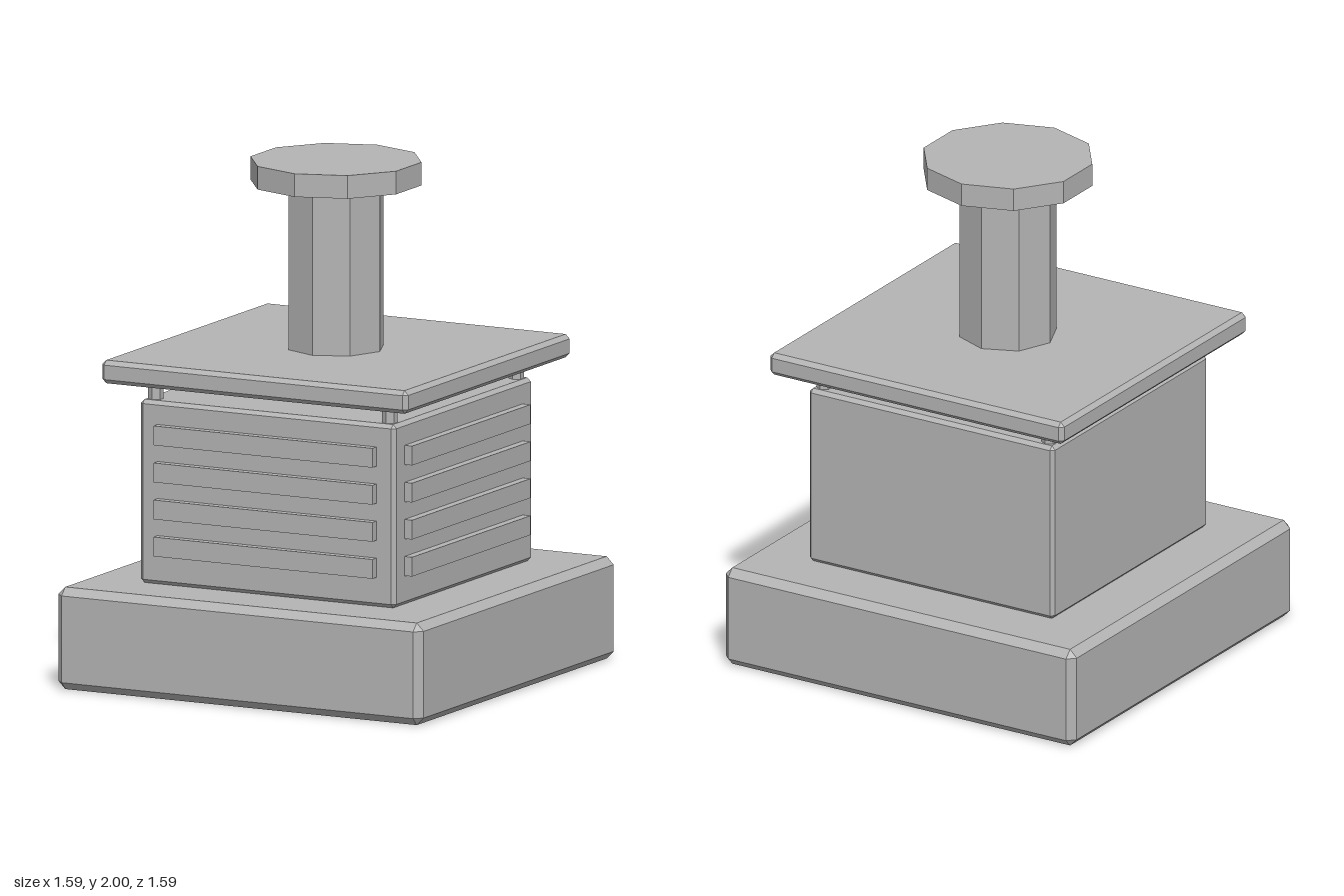
import * as THREE from 'three';
import { ConvexGeometry } from 'three/addons/geometries/ConvexGeometry.js';

// Box standing on y = 0 with every edge chamfered by c
function chamferedBox(w, h, d, c) {
  const points = [];
  for (const sx of [-1, 1]) for (const sy of [-1, 1]) for (const sz of [-1, 1]) {
    for (let axis = 0; axis < 3; axis++) {
      const inset = [c, c, c];
      inset[axis] = 0;
      points.push(new THREE.Vector3(
        sx * (w / 2 - inset[0]),
        h / 2 + sy * (h / 2 - inset[1]),
        sz * (d / 2 - inset[2])
      ));
    }
  }
  return new ConvexGeometry(points);
}

export function createModel() {
  const model = new THREE.Group();
  model.name = 'ventilationUnit';
  const grey = new THREE.MeshStandardMaterial({ color: 0xb4b4b4, flatShading: true });
  grey.name = 'grey';

  const add = (name, geometry, x, y, z, parent = model) => {
    const mesh = new THREE.Mesh(geometry, grey);
    mesh.name = name;
    mesh.position.set(x, y, z);
    parent.add(mesh);
    return mesh;
  };

  // Stacked bodies
  add('base', chamferedBox(1.585, 0.397, 1.585, 0.03), 0, 0, 0);
  add('housing', chamferedBox(1.108, 0.713, 1.108, 0.015), 0, 0.397, 0);
  add('roof', chamferedBox(1.328, 0.09, 1.328, 0.017), 0, 1.18, 0);

  // Corner posts that hold the roof clear of the housing
  const post = new THREE.CylinderGeometry(0.03, 0.03, 0.09, 6);
  for (const x of [-0.508, 0.508]) for (const z of [-0.508, 0.508]) {
    add('roofPost', post, x, 1.145, z);
  }

  // Louvre slats on the front and the left side
  const slat = new THREE.BoxGeometry(0.95, 0.075, 0.07);
  for (const [name, angle] of [['frontLouvres', 0], ['leftLouvres', Math.PI / 2]]) {
    const louvres = new THREE.Group();
    louvres.name = name;
    louvres.rotation.y = angle;
    for (let i = 0; i < 4; i++) add('slat', slat, 0, 0.55 + i * 0.144, 0.552, louvres);
    model.add(louvres);
  }

  // Octagonal stack with a ten-sided cap
  add('stack', new THREE.CylinderGeometry(0.19, 0.19, 0.66, 8), 0, 1.59, 0);
  add('stackCap', new THREE.CylinderGeometry(0.332, 0.332, 0.09, 10), 0, 1.955, 0);

  return model;
}
